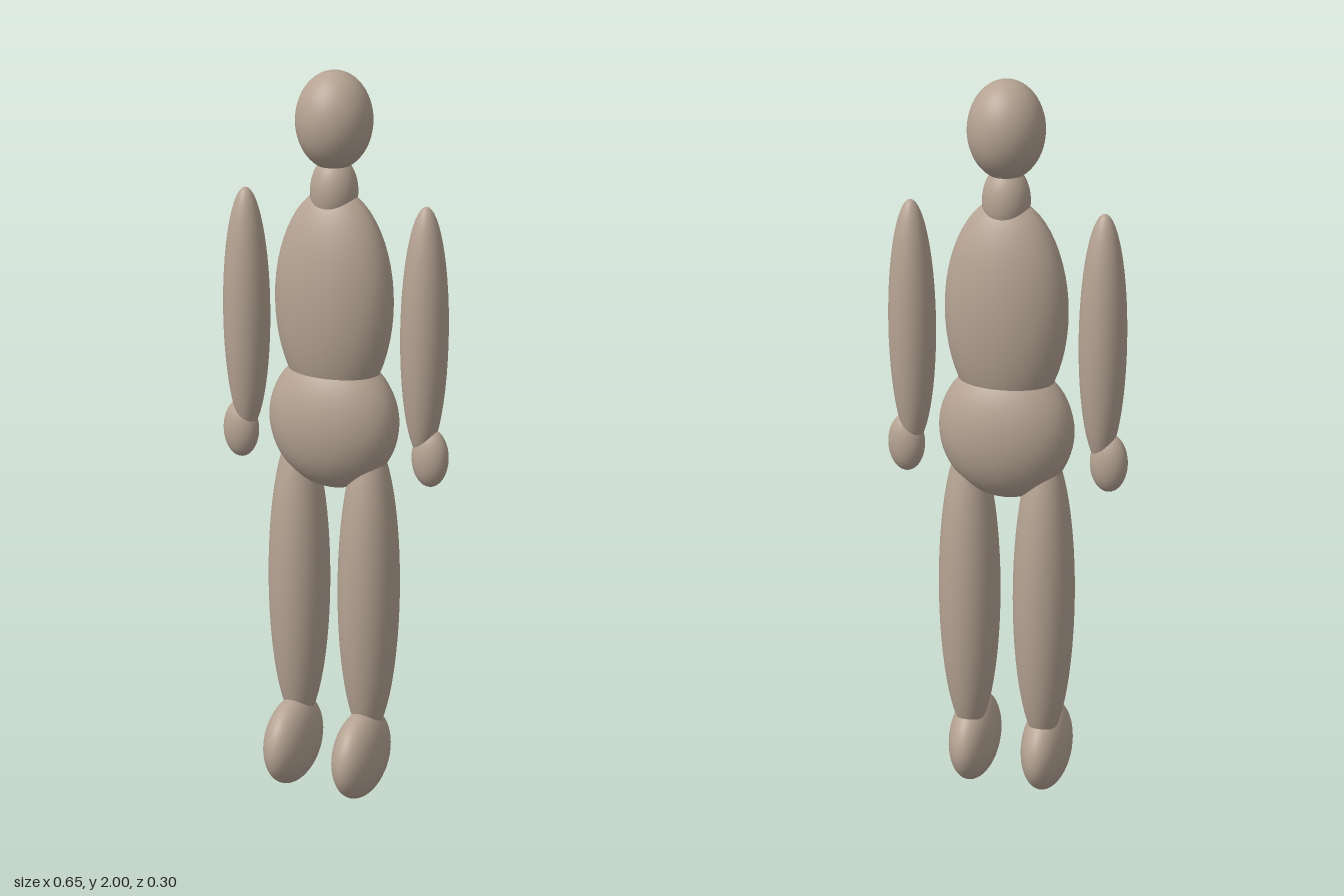
import * as THREE from 'three';

export function createModel() {
  const figure = new THREE.Group();
  figure.name = 'mannequin';

  const clay = new THREE.MeshStandardMaterial({ color: 0xb5a393 });
  clay.name = 'clay';

  const sphere = new THREE.SphereGeometry(1, 40, 28);

  // Every body part is a stretched sphere: centre and radii
  function ellipsoid(name, centre, radii) {
    const mesh = new THREE.Mesh(sphere, clay);
    mesh.name = name;
    mesh.position.set(...centre);
    mesh.scale.set(...radii);
    figure.add(mesh);
  }

  const z = -0.03; // body axis

  // Head and trunk
  ellipsoid('head', [0, 1.873, z], [0.099, 0.127, 0.102]);
  ellipsoid('neck', [0, 1.69, z], [0.062, 0.094, 0.062]);
  ellipsoid('torso', [0, 1.4, z], [0.163, 0.3, 0.108]);
  ellipsoid('hips', [0, 1.075, z], [0.182, 0.19, 0.119]);

  // Limbs, mirrored left and right
  for (const [side, s] of [['left', 1], ['right', -1]]) {
    ellipsoid(side + 'Arm', [s * 0.256, 1.34, z], [0.062, 0.335, 0.065]);
    ellipsoid(side + 'Hand', [s * 0.277, 1.007, z], [0.05, 0.08, 0.04]);
    ellipsoid(side + 'Leg', [s * 0.104, 0.6, z], [0.083, 0.44, 0.091]);
    ellipsoid(side + 'Foot', [s * 0.104, 0.127, 0.013], [0.066, 0.124, 0.135]);
  }

  return figure;
}
